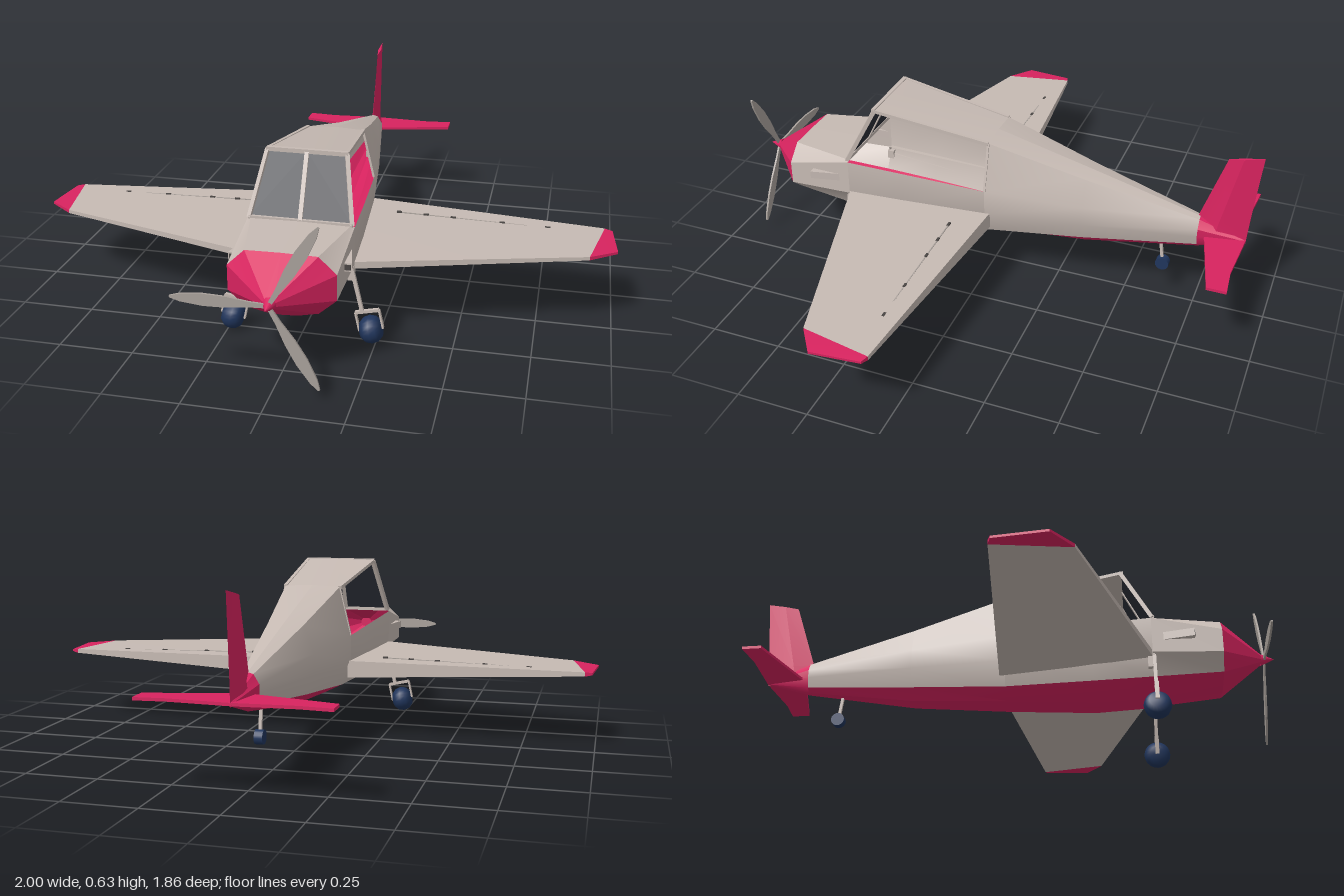
import * as THREE from 'three';
import { toCreasedNormals } from 'three/addons/utils/BufferGeometryUtils.js';

const paint = (name, color) => new THREE.MeshStandardMaterial({ name, color, side: THREE.DoubleSide });
const V = (x, y, z) => new THREE.Vector3(x, y, z);

// Surface through rows of [x, y, z] points
function loft(rows, crease = 0.5, closed = false) {
  const n = rows[0].length, idx = [];
  for (let r = 0; r < rows.length - 1; r++) {
    for (let i = 0; i < (closed ? n : n - 1); i++) {
      const a = r * n + i, b = r * n + (i + 1) % n;
      idx.push(a, b, a + n, b, b + n, a + n);
    }
  }
  const g = new THREE.BufferGeometry();
  g.setAttribute('position', new THREE.Float32BufferAttribute(rows.flat(2), 3));
  g.setIndex(idx);
  return toCreasedNormals(g, crease);
}

// Flat plate cut from an outline
function plate(points, depth) {
  const shape = new THREE.Shape(points.map(([x, y]) => new THREE.Vector2(x, y)));
  return new THREE.ExtrudeGeometry(shape, { depth, bevelEnabled: false });
}

export function createModel() {
  const model = new THREE.Group();
  model.name = 'propellerPlane';
  const cream = paint('creamBody', 0xc6bab3);
  const pink = paint('pinkTrim', 0xd8235f);
  const glass = paint('darkGlass', 0x2b2e37);
  const navy = paint('navyTyre', 0x20355c);
  const grey = paint('greyMetal', 0xa9a19b);
  const dark = paint('darkSeam', 0x4a4644);

  const add = (name, geometry, material, parent = model) => {
    const m = new THREE.Mesh(geometry, material);
    m.name = name;
    parent.add(m);
    return m;
  };
  const beam = (name, a, b, w, d, material, parent = model) => {
    const m = add(name, new THREE.BoxGeometry(w, d, a.distanceTo(b)), material, parent);
    m.position.copy(a).add(b).multiplyScalar(0.5);
    m.lookAt(b);
    return m;
  };

  // Fuselage half sections: roof centre, roof edge, sill, side, chine, belly, keel
  const nose = { z: 0.745, p: [[0, 0.412], [0.115, 0.41], [0.172, 0.355], [0.172, 0.27], [0.115, 0.22], [0.05, 0.206], [0, 0.203]] };
  const cowl = { z: 0.505, p: [[0, 0.418], [0.165, 0.415], [0.176, 0.41], [0.176, 0.28], [0.135, 0.205], [0.06, 0.17], [0, 0.163]] };
  const mid = { z: 0.3, p: [[0, 0.61], [0.123, 0.6], [0.165, 0.402], [0.165, 0.28], [0.135, 0.2], [0.06, 0.16], [0, 0.155]] };
  const cabin = { z: -0.01, p: [[0, 0.562], [0.1, 0.557], [0.142, 0.385], [0.142, 0.29], [0.11, 0.205], [0.05, 0.175], [0, 0.17]] };
  const rear = { z: -0.35, p: [[0, 0.477], [0.062, 0.465], [0.098, 0.37], [0.098, 0.3], [0.075, 0.234], [0.035, 0.198], [0, 0.19]] };
  const tail = { z: -0.745, p: [[0, 0.375], [0.018, 0.37], [0.036, 0.34], [0.036, 0.31], [0.026, 0.274], [0.012, 0.259], [0, 0.255]] };
  const end = { z: -0.905, p: tail.p.map(([x, y]) => [x * 0.15, 0.308 + (y - 0.31) * 0.08]) };
  const tip = { z: 0.885, p: nose.p.map(([x, y]) => [x * 0.12, 0.31 + (y - 0.31) * 0.15]) };

  const panel = (name, stations, from, to, s, material, crease) =>
    add(name, loft(stations.map(({ z, p }) => p.slice(from, to + 1).map(([x, y]) => [s * x, y, z])), crease), material);

  for (const s of [-1, 1]) {
    const side = s > 0 ? 'left' : 'right';
    panel(side + 'NoseCone', [tip, nose], 0, 6, s, pink, 0.15);
    panel(side + 'Cowl', [nose, cowl], 0, 4, s, cream, 0.4);
    panel(side + 'CabinSide', [cowl, mid, cabin], 2, 4, s, cream, 0.7);
    panel(side + 'RearFuselage', [cabin, rear, tail], 0, 4, s, cream, 0.7);
    panel(side + 'Belly', [nose, cowl, mid, cabin, rear, tail], 4, 6, s, pink, 0.5);
    panel(side + 'TailCone', [tail, end], 0, 6, s, pink, 0.5);

    // Cabin opening frame and windscreen
    const foot = V(s * 0.168, 0.415, 0.51), top = V(s * 0.13, 0.617, 0.408), back = V(s * 0.1, 0.555, -0.01);
    beam(side + 'WindscreenPillar', foot, top, 0.014, 0.014, cream);
    beam(side + 'RoofRail', top, back, 0.012, 0.012, cream);
    beam(side + 'RearPost', back, V(s * 0.14, 0.385, -0.01), 0.008, 0.008, cream);
    add(side + 'Windscreen', loft([[[0, 0.42, 0.508], [s * 0.166, 0.42, 0.508]], [[0, 0.617, 0.408], [s * 0.13, 0.617, 0.408]]]), glass);

    // Wing: leading top, trailing top, trailing bottom, leading bottom at each station
    const section = (xl, zl, xt, zt, l0, l1, t0, t1) =>
      [[s * xl, l1, zl], [s * xt, t1, zt], [s * xt, t0, zt], [s * xl, l0, zl]];
    const root = section(0.16, 0.508, 0.135, -0.028, 0.264, 0.288, 0.235, 0.295);
    const outer = section(0.91, 0.285, 0.957, 0.04, 0.268, 0.28, 0.266, 0.281);
    const edge = section(1, 0.22, 0.983, 0.05, 0.27, 0.278, 0.27, 0.278);
    add(side + 'Wing', loft([root, outer], 0.2, true), cream);
    add(side + 'WingTip', loft([outer, edge], 0.2, true), pink);
    add(side + 'WingTipCap', loft([[edge[0], edge[1]], [edge[3], edge[2]]]), pink);

    // Aileron seam and hinges
    const wingY = x => 0.296 - 0.018 * (x - 0.14) / 0.8;
    beam(side + 'AileronSeam', V(s * 0.24, wingY(0.24), 0.08), V(s * 0.8, wingY(0.8), 0.08), 0.004, 0.003, grey);
    for (const x of [0.25, 0.345, 0.44, 0.61, 0.765]) {
      add(side + 'AileronHinge', new THREE.BoxGeometry(0.018, 0.008, 0.008), dark).position.set(s * x, wingY(x), 0.08);
    }

    // Exhaust scoop on the cowl
    const scoop = add(side + 'Scoop', plate([[s * 0.168, 0.51], [s * 0.198, 0.65], [s * 0.165, 0.65]], 0.028), cream);
    scoop.rotation.x = Math.PI / 2;
    scoop.position.y = 0.352;
    add(side + 'ScoopInlet', new THREE.BoxGeometry(0.02, 0.018, 0.004), dark).position.set(s * 0.184, 0.338, 0.65);

    // Main landing gear
    const gear = new THREE.Group();
    gear.name = side + 'MainGear';
    model.add(gear);
    const crown = V(s * 0.22, 0.12, 0.51), hub = V(s * 0.234, 0.056, 0.51), across = V(s * 0.039, 0.009, 0);
    beam('leg', V(s * 0.168, 0.27, 0.51), V(s * 0.203, 0.118, 0.51), 0.012, 0.012, cream, gear);
    beam('forkCrown', crown.clone().sub(across), crown.clone().add(across), 0.012, 0.01, cream, gear);
    for (const k of [-1, 1]) {
      const offset = across.clone().multiplyScalar(k);
      beam('forkProng', crown.clone().add(offset), hub.clone().add(offset), 0.014, 0.006, cream, gear);
    }
    const tyre = [[0, -0.034], [0.028, -0.034], [0.042, -0.02], [0.047, 0], [0.042, 0.02], [0.028, 0.034], [0, 0.034]];
    const wheel = add('wheel', new THREE.LatheGeometry(tyre.map(([x, y]) => new THREE.Vector2(x, y)), 20), navy, gear);
    wheel.position.copy(hub);
    wheel.rotation.z = -s * (Math.PI / 2 - 0.22);
    add(side + 'GearMount', new THREE.BoxGeometry(0.02, 0.05, 0.025), cream).position.set(s * 0.165, 0.25, 0.5);

    // Horizontal stabiliser
    const stab = add(side + 'Stabiliser', plate([[0, -0.735], [s * 0.035, -0.77], [s * 0.305, -0.835], [s * 0.305, -0.902], [s * 0.2, -0.893], [0, -0.905]], 0.01), pink);
    stab.rotation.x = Math.PI / 2;
    stab.position.y = 0.314;
  }

  // Roof sheet and windscreen bars
  add('roof', loft([
    [[-0.132, 0.622, 0.41], [0, 0.624, 0.41], [0.132, 0.622, 0.41]],
    [[-0.1, 0.557, -0.01], [0, 0.562, -0.01], [0.1, 0.557, -0.01]],
  ]), cream);
  beam('windscreenCentrePost', V(0, 0.418, 0.511), V(0, 0.618, 0.41), 0.014, 0.012, cream);
  beam('windscreenHeader', V(-0.134, 0.618, 0.41), V(0.134, 0.618, 0.41), 0.014, 0.014, cream);
  beam('windscreenBase', V(-0.17, 0.417, 0.51), V(0.17, 0.417, 0.51), 0.012, 0.012, cream);

  // Fin
  const fin = [
    [[0, 0.34, -0.74], [0.022, 0.31, -0.8], [0, 0.3, -0.905], [-0.022, 0.31, -0.8]],
    [[0, 0.375, -0.737], [0.015, 0.37, -0.81], [0, 0.37, -0.908], [-0.015, 0.37, -0.81]],
    [[0, 0.615, -0.815], [0.006, 0.625, -0.865], [0, 0.64, -0.93], [-0.006, 0.625, -0.865]],
  ];
  add('fin', loft(fin, 0.2, true), pink);
  add('finTop', loft([[fin[2][0], fin[2][1]], [fin[2][3], fin[2][2]]]), pink);

  // Tail wheel
  beam('tailStrut', V(0, 0.26, -0.615), V(0, 0.15, -0.63), 0.01, 0.01, cream);
  const tailWheel = add('tailWheel', new THREE.CylinderGeometry(0.024, 0.024, 0.028, 16), navy);
  tailWheel.rotation.z = Math.PI / 2;
  tailWheel.position.set(0, 0.15, -0.63);

  // Propeller and spinner
  const spinner = add('spinner', new THREE.ConeGeometry(0.022, 0.05, 12), pink);
  spinner.rotation.x = Math.PI / 2;
  spinner.position.set(0, 0.31, 0.907);
  const half = [[0, 0.006], [0.06, 0.009], [0.13, 0.018], [0.2, 0.02], [0.27, 0.013], [0.303, 0.003]];
  const blade = plate([...half, ...half.map(([x, y]) => [x, -y]).reverse()], 0.007);
  for (let i = 0; i < 3; i++) {
    const b = add('propellerBlade', blade, grey);
    b.position.set(0, 0.31, 0.893);
    b.rotation.z = Math.PI / 3 + i * Math.PI * 2 / 3;
  }
  return model;
}
